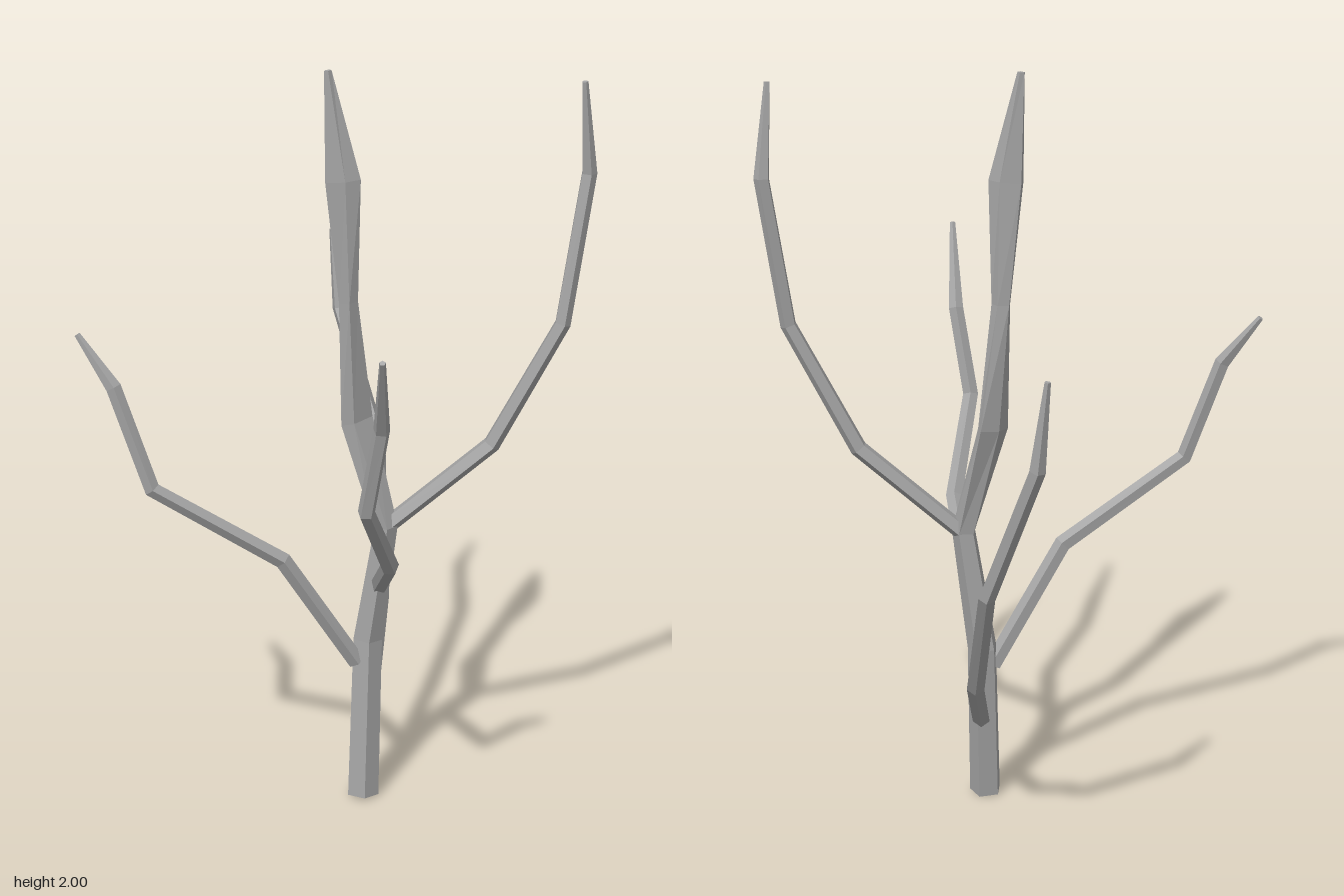
import * as THREE from 'three';

const SIDES = 5;

// Tapered five-sided limb through rows of [x, y, z, radius, stretch = 1, stretchAngle = 0]
function limb(name, rows, phase, material) {
  const pts = rows.map(r => new THREE.Vector3(r[0], r[1], r[2]));
  const last = pts.length - 1;
  const positions = [], index = [];
  const u = new THREE.Vector3(1, 0, 0);
  const first = pts[1].clone().sub(pts[0]).normalize();
  if (Math.abs(first.x) > 0.45) u.set(0, 0, 1);

  pts.forEach((p, i) => {
    const into = p.clone().sub(pts[Math.max(i - 1, 0)]).normalize();
    const out = pts[Math.min(i + 1, last)].clone().sub(p).normalize();
    const t = into.add(out).normalize();
    // carry the ring direction along the limb so it does not twist
    u.addScaledVector(t, -u.dot(t)).normalize();
    const v = t.clone().cross(u);
    const [, , , radius, stretch = 1, angle = 0] = rows[i];
    const dx = Math.cos(angle), dy = Math.sin(angle);
    for (let j = 0; j < SIDES; j++) {
      const a = phase + (j / SIDES) * Math.PI * 2;
      let px = Math.cos(a) * radius, py = Math.sin(a) * radius;
      const along = (px * dx + py * dy) * (stretch - 1);
      px += along * dx;
      py += along * dy;
      const q = p.clone().addScaledVector(u, px).addScaledVector(v, py);
      positions.push(q.x, i === 0 ? Math.max(q.y, 0) : q.y, q.z);
    }
  });

  // side faces
  for (let i = 0; i < last; i++) {
    for (let j = 0; j < SIDES; j++) {
      const k = (j + 1) % SIDES;
      const a = i * SIDES + j, b = i * SIDES + k;
      index.push(a, b, b + SIDES, a, b + SIDES, a + SIDES);
    }
  }
  // end caps
  const top = last * SIDES;
  for (let j = 1; j < SIDES - 1; j++) {
    index.push(0, j + 1, j, top, top + j, top + j + 1);
  }

  const indexed = new THREE.BufferGeometry();
  indexed.setAttribute('position', new THREE.Float32BufferAttribute(positions, 3));
  indexed.setIndex(index);
  const geometry = indexed.toNonIndexed();
  geometry.computeVertexNormals();
  const mesh = new THREE.Mesh(geometry, material);
  mesh.name = name;
  return mesh;
}

export function createModel() {
  const bark = new THREE.MeshStandardMaterial({ color: 0xa3a3a3, flatShading: true });
  bark.name = 'grey bark';
  const tree = new THREE.Group();
  tree.name = 'bareTree';

  // trunk, with two flattened swellings near the top
  tree.add(limb('trunk', [
    [0.08, 0.005, 0.045, 0.044],
    [0.087, 0.45, -0.002, 0.041],
    [0.135, 0.78, 0.005, 0.033],
    [0.06, 1.07, -0.015, 0.023, 2.4, Math.PI / 4],
    [0.035, 1.4, 0.01, 0.026],
    [0.02, 1.72, 0.022, 0.023, 2.1, 0],
    [-0.016, 2.0, 0.022, 0.01],
  ], -0.1, bark));

  // four bent branches, each thinning to its tip
  const radii = [0.024, 0.024, 0.022, 0.021, 0.008];
  const branches = {
    rightBranch: [[0.06, 0.39, 0.02], [-0.13, 0.71, 0.095], [-0.46, 0.93, 0.175], [-0.555, 1.2, 0.16], [-0.65, 1.33, 0.13]],
    leftBranch: [[0.14, 0.78, 0], [0.41, 1.015, -0.005], [0.585, 1.35, -0.003], [0.64, 1.74, -0.03], [0.622, 1.98, 0.005]],
    frontBranch: [[0.12, 0.61, 0.01], [0.165, 0.78, 0.285], [0.12, 1.01, 0.5], [0.16, 1.245, 0.56], [0.17, 1.46, 0.695]],
    backBranch: [[0.092, 0.24, -0.005], [0.105, 0.455, -0.285], [0.075, 0.815, -0.57], [-0.045, 1.175, -0.675], [-0.068, 1.4, -0.695]],
  };
  for (const [name, path] of Object.entries(branches)) {
    tree.add(limb(name, path.map((p, i) => [...p, radii[i]]), 0.3, bark));
  }
  return tree;
}
